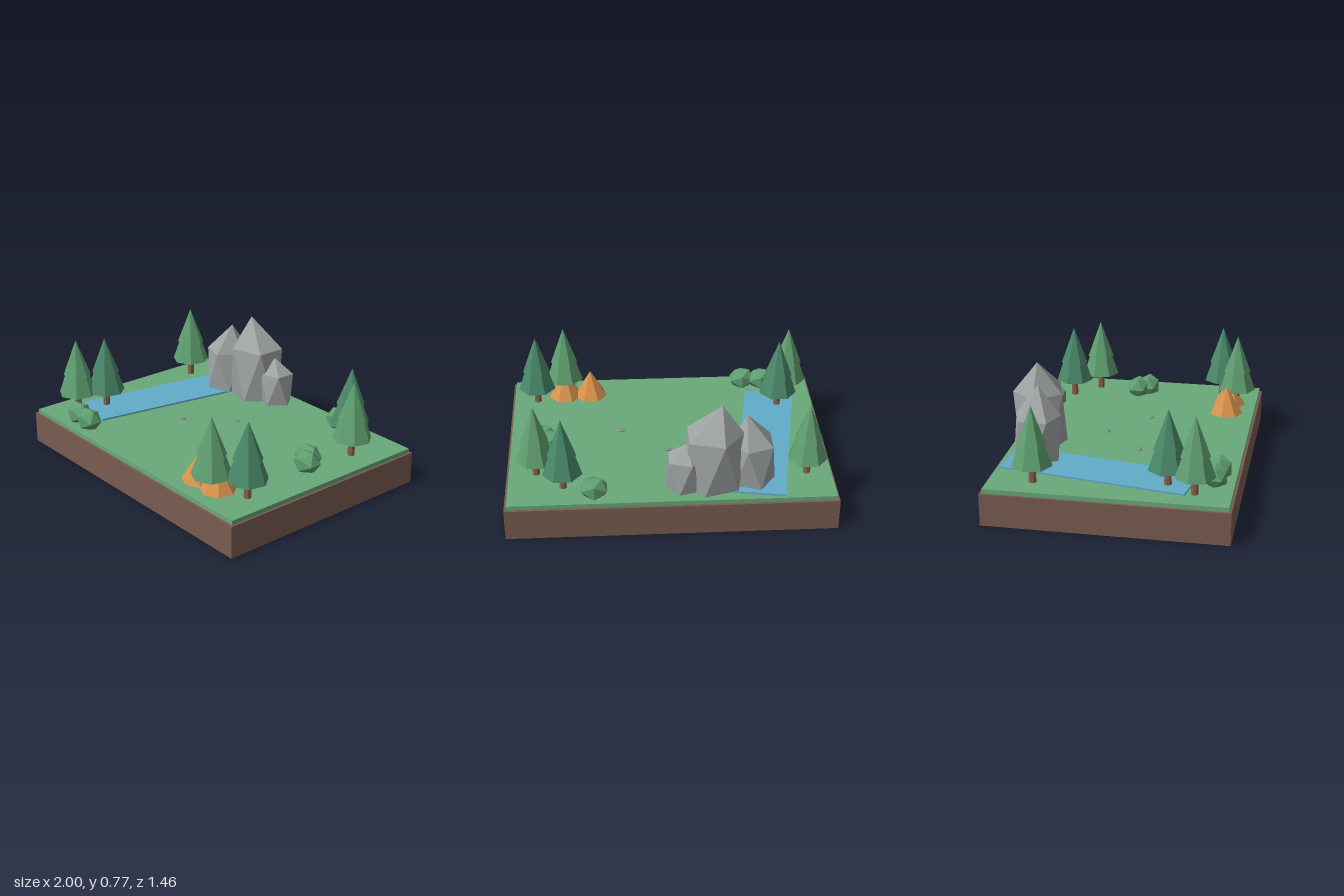
import * as THREE from 'three';

const GROUND = 0.227;
const mat = (color) => new THREE.MeshStandardMaterial({ color, flatShading: true });
const M = {
  soil: mat(0x795c50), grass: mat(0x6aa87a), water: mat(0x62acc8), trunk: mat(0x8a6045),
  pineLight: mat(0x5f9f70), pineDark: mat(0x4a8869), bush: mat(0x5f9f70),
  rock: mat(0x9fa3a4), pebble: mat(0x8a8a8a), tent: mat(0xd9924c),
};

function add(parent, name, geometry, material, x = 0, y = 0, z = 0) {
  const mesh = new THREE.Mesh(geometry, material);
  mesh.name = name;
  mesh.position.set(x, y, z);
  parent.add(mesh);
  return mesh;
}

// Seven-sided cone or frustum standing on y
function tier(parent, name, material, r0, r1, y0, y1) {
  add(parent, name, new THREE.CylinderGeometry(r1, r0, y1 - y0, 7), material, 0, (y0 + y1) / 2, 0);
}

function pine(x, z, material) {
  const tree = new THREE.Group();
  tree.name = 'pineTree';
  tier(tree, 'trunk', M.trunk, 0.023, 0.021, GROUND - 0.005, 0.345);
  tier(tree, 'lowerFoliage', material, 0.123, 0.062, 0.337, 0.51);
  tier(tree, 'upperFoliage', material, 0.09, 0, 0.463, 0.703);
  tree.position.set(x, 0, z);
  return tree;
}

// Upright twenty-faced crag: apex, shoulder ring and foot ring set to given heights
function crag({ x, z, rx, rz, top, shoulder, lean, turn }) {
  const geo = new THREE.IcosahedronGeometry(1, 0);
  geo.rotateX(-Math.atan((1 + Math.sqrt(5)) / 2)); // one corner straight up
  geo.rotateY(turn);
  const p = geo.attributes.position;
  for (let i = 0; i < p.count; i++) {
    const u = p.getY(i);
    const apex = u > 0.9;
    const y = apex ? top : u > 0 ? shoulder : u > -0.9 ? GROUND + 0.01 : GROUND - 0.02;
    const k = 1 / 0.894;
    p.setXYZ(i, p.getX(i) * rx * k + (apex ? lean : 0), y, p.getZ(i) * rz * k);
  }
  geo.computeVertexNormals();
  geo.translate(x, 0, z);
  return geo;
}

export function createModel() {
  const model = new THREE.Group();
  model.name = 'campsiteDiorama';

  // Ground slab, lawn and stream
  add(model, 'soilBase', new THREE.BoxGeometry(2, 0.2, 1.46), M.soil, 0, 0.1, 0);
  add(model, 'lawn', new THREE.BoxGeometry(1.97, 0.027, 1.43), M.grass, 0, 0.2135, 0);
  const stream = add(model, 'stream', new THREE.BoxGeometry(0.317, 0.016, 1.163), M.water, -0.6175, 0.23, -0.1);
  stream.rotation.y = -0.171;

  // Pines
  const { pineLight: L, pineDark: D } = M;
  for (const [x, z, m] of [
    [-0.834, -0.45, L], [-0.75, 0.333, D], [-0.834, 0.5, L], [0.65, -0.533, D],
    [0.815, -0.382, L], [0.65, 0.584, L], [0.83, 0.467, D],
  ]) model.add(pine(x, z, m));

  // Bushes
  for (const [x, z] of [[0.465, -0.62], [0.73, -0.1], [0.785, -0.037], [-0.67, 0.6], [-0.545, 0.612]]) {
    add(model, 'bush', new THREE.IcosahedronGeometry(0.078, 0), M.bush, x, 0.274, z).scale.set(1.18, 1, 1);
  }

  // Rock formation
  const rocks = new THREE.Group();
  rocks.name = 'rockFormation';
  model.add(rocks);
  add(rocks, 'mainCrag', crag({
    x: -0.25, z: -0.545, rx: 0.185, rz: 0.163, top: 0.775, shoulder: 0.58, lean: -0.05, turn: Math.PI / 2,
  }), M.rock);
  add(rocks, 'leftCrag', crag({
    x: -0.49, z: -0.505, rx: 0.14, rz: 0.145, top: 0.685, shoulder: 0.5, lean: 0.04, turn: Math.PI / 2,
  }), M.rock);
  add(rocks, 'rightCrag', crag({
    x: -0.08, z: -0.57, rx: 0.12, rz: 0.11, top: 0.535, shoulder: 0.44, lean: -0.01, turn: -Math.PI / 2,
  }), M.rock);
  // The two larger crags face their shoulder corners outwards
  rocks.children[0].geometry = crag({
    x: -0.25, z: -0.545, rx: 0.185, rz: 0.163, top: 0.775, shoulder: 0.58, lean: -0.05, turn: -Math.PI / 2,
  });

  // Tents
  for (const x of [0.48, 0.65]) {
    add(model, 'tent', new THREE.ConeGeometry(0.11, 0.18, 7), M.tent, x, GROUND + 0.088, 0.535);
  }

  // Pebbles
  for (const [x, z] of [[0, -0.17], [-0.25, 0.08], [0.285, 0.065]]) {
    add(model, 'pebble', new THREE.IcosahedronGeometry(0.026, 0), M.pebble, x, 0.232, z).scale.set(1, 0.35, 0.65);
  }
  return model;
}
